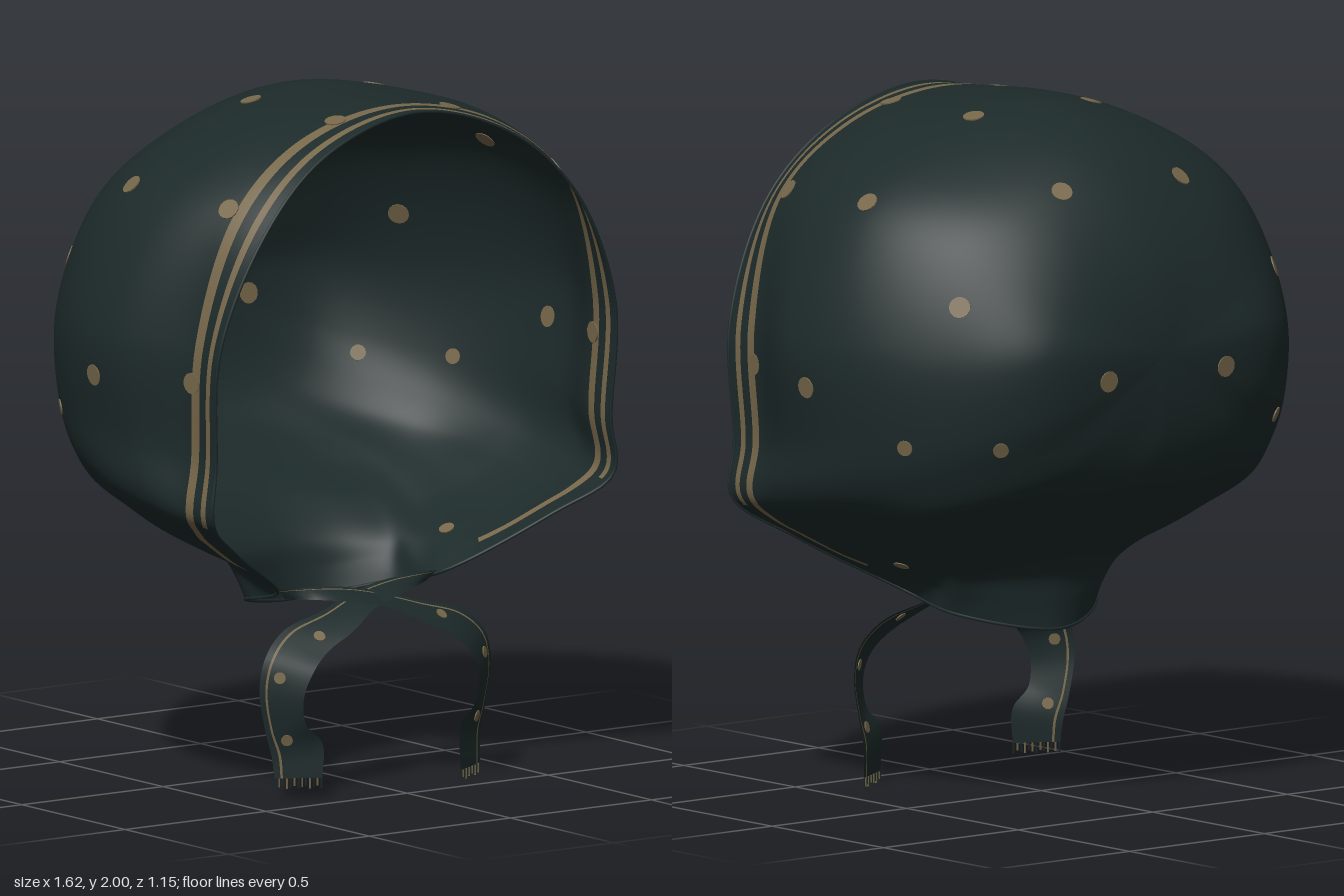
import * as THREE from 'three';

const V = (x, y, z) => new THREE.Vector3(x, y, z);

// Lines running from the open edge of the hood towards the back, from crown down to nape
const POLE = [0, 1.34, -0.567];
const RIBS = [
  [[0, 1.985, 0.545], [0, 1.998, 0.25], [0, 1.992, -0.05], [0, 1.88, -0.32], [0, 1.65, -0.5]],
  [[0.33, 1.892, 0.555], [0.38, 1.93, 0.25], [0.37, 1.9, -0.05], [0.32, 1.775, -0.34], [0.2, 1.59, -0.505]],
  [[0.55, 1.695, 0.57], [0.655, 1.735, 0.23], [0.645, 1.73, -0.03], [0.53, 1.64, -0.31], [0.32, 1.5, -0.515]],
  [[0.7, 1.36, 0.55], [0.803, 1.38, 0.18], [0.78, 1.38, -0.06], [0.645, 1.36, -0.32], [0.41, 1.36, -0.535]],
  [[0.7, 1.02, 0.53], [0.77, 1.06, 0.2], [0.765, 1.09, -0.05], [0.65, 1.11, -0.3], [0.41, 1.18, -0.52]],
  [[0.71, 0.86, 0.53], [0.745, 0.89, 0.28], [0.74, 0.93, 0.02], [0.63, 0.99, -0.27], [0.375, 1.08, -0.495]],
  [[0.57, 0.75, 0.44], [0.635, 0.785, 0.25], [0.64, 0.835, 0.01], [0.57, 0.89, -0.25], [0.31, 1.025, -0.49]],
  [[0.29, 0.58, 0.27], [0.37, 0.66, 0.14], [0.43, 0.73, -0.04], [0.41, 0.84, -0.26], [0.22, 1.0, -0.49]],
  [[0.26, 0.53, 0.07], [0.27, 0.64, 0.0], [0.28, 0.73, -0.12], [0.25, 0.84, -0.31], [0.12, 0.99, -0.495]],
  [[0, 0.48, -0.08], [0, 0.64, -0.1], [0, 0.75, -0.2], [0, 0.86, -0.35], [0, 0.985, -0.5]],
];
// Inner line of the straight band behind the edge, one point for each rib
const BAND = [[0, 1.99, 0.42], [0.35, 1.916, 0.43], [0.587, 1.73, 0.45], [0.705, 1.365, 0.43], [0.705, 1.03, 0.41],
  [0.722, 0.872, 0.41], [0.605, 0.765, 0.345], [0.325, 0.62, 0.205], [0.262, 0.585, 0.035], [0, 0.555, -0.085]];

// Outer and inner edges of a tie, from the neck to its end
const TIE_OUTER = [[-0.28, 0.585, 0.26], [-0.1, 0.58, 0.285], [0.02, 0.56, 0.295], [0.17, 0.52, 0.33], [0.31, 0.48, 0.34],
  [0.39, 0.41, 0.345], [0.41, 0.32, 0.345], [0.39, 0.2, 0.345], [0.37, 0.12, 0.35], [0.365, 0.03, 0.355]];
const TIE_INNER = [[-0.25, 0.555, 0.25], [-0.1, 0.545, 0.35], [0.02, 0.52, 0.385], [0.12, 0.47, 0.42], [0.22, 0.42, 0.43],
  [0.28, 0.37, 0.43], [0.31, 0.3, 0.425], [0.3, 0.22, 0.42], [0.245, 0.16, 0.425], [0.245, 0.03, 0.425]];

// Surface through rows of points; isTrim(row, col) picks the second material
function sheet(rows, closed, isTrim) {
  const n = rows[0].length, index = [[], []];
  for (let r = 0; r < rows.length - 1; r++) {
    for (let c = 0; c < (closed ? n : n - 1); c++) {
      const d = (c + 1) % n;
      const a = r * n + c, b = r * n + d, e = a + n, f = b + n;
      index[isTrim(r, c) ? 1 : 0].push(a, b, e, b, f, e);
    }
  }
  const g = new THREE.BufferGeometry().setFromPoints(rows.flat());
  g.setIndex([...index[0], ...index[1]]);
  g.addGroup(0, index[0].length, 0);
  g.addGroup(index[0].length, index[1].length, 1);
  g.computeVertexNormals();
  return g;
}

// Thin round spot lying in the surface at the vertex nearest the target
function spot(geometry, target, radius, material) {
  const p = geometry.attributes.position, n = geometry.attributes.normal, v = V(0, 0, 0);
  let best = 0, bestD = Infinity;
  for (let i = 0; i < p.count; i++) {
    const d = v.fromBufferAttribute(p, i).distanceToSquared(target);
    if (d < bestD) { bestD = d; best = i; }
  }
  const m = new THREE.Mesh(new THREE.CylinderGeometry(radius, radius, 0.006, 14), material);
  m.position.fromBufferAttribute(p, best);
  m.quaternion.setFromUnitVectors(V(0, 1, 0), v.fromBufferAttribute(n, best).normalize());
  m.name = 'spot';
  return m;
}

export function createModel() {
  const cloth = new THREE.MeshStandardMaterial({ name: 'dark teal cloth', color: 0x1d2a2a, side: THREE.DoubleSide });
  const gold = new THREE.MeshStandardMaterial({ name: 'dull gold print', color: 0x76674a, side: THREE.DoubleSide });
  const model = new THREE.Group();
  model.name = 'headscarf';

  // Hood: ribs continue past the pole so the back stays round
  const ribCurve = (i, side) => {
    const [rim, ...rest] = RIBS[i];
    const pts = [rim, BAND[i], ...rest, POLE].map(([x, y, z]) => V(x * side, y, z));
    const [x, y, z] = rest[3];
    pts.push(V(-x * side, 2 * POLE[1] - y, z));
    return new THREE.CatmullRomCurve3(pts);
  };
  const ribs = RIBS.map((_, i) => ribCurve(i, 1));
  for (let i = RIBS.length - 2; i > 0; i--) ribs.push(ribCurve(i, -1));
  const COLS = ribs.length * 16;
  const key = c => Math.min(c, COLS - c) / 16;
  const steps = [0, 0.25, 0.43, 0.7, 0.96];
  for (let i = 11; i <= 60; i++) steps.push(i / 10);
  const rows = steps.map(s => {
    const ring = new THREE.CatmullRomCurve3(ribs.map(r => r.getPoint(s / 7)), true);
    return Array.from({ length: COLS }, (_, c) => {
      const p = ring.getPoint(c / COLS);
      // soft gathers near the neck
      const w = (1 - THREE.MathUtils.smoothstep(p.y, 0.55, 0.95)) * Math.min(1, s);
      const k = 1 + 0.012 * w * Math.sin(key(c) * 9);
      return V(p.x * k, p.y, p.z);
    });
  });
  // the outer stripe stops at the jaw, the inner one runs on towards the chin
  const isStripe = (r, c) => (r === 1 && key(c + 0.5) < 5.2) || (r === 3 && key(c + 0.5) < 6.6);
  const hoodGeo = sheet(rows, true, isStripe);
  const hood = new THREE.Mesh(hoodGeo, [cloth, gold]);
  hood.name = 'hood';
  model.add(hood);

  // Hem around the face and neck edge
  const hemPath = new THREE.CatmullRomCurve3(rows[0].filter((_, i) => i % 4 === 0), true);
  const hem = new THREE.Mesh(new THREE.TubeGeometry(hemPath, 160, 0.005, 6, true), cloth);
  hem.name = 'hem';
  model.add(hem);

  // Printed spots, mirrored left and right
  const spots = new THREE.Group();
  spots.name = 'spots';
  const places = [[0.22, 1.8, -0.36], [0.21, 1.28, -0.55], [0.59, 1.51, -0.34], [0.5, 1.1, -0.42], [0.68, 1.1, -0.21],
    [0.64, 1.78, 0.03], [0.22, 1.98, 0.04], [0.8, 1.235, 0.09], [0.41, 0.65, 0.14],
    [0.2, 1.97, 0.425], [0.595, 1.76, 0.44], [0.7, 1.25, 0.43]];
  for (const side of [1, -1]) {
    for (const [x, y, z] of places) spots.add(spot(hoodGeo, V(x * side, y, z), y < 1.15 ? 0.023 : 0.031, gold));
  }
  model.add(spots);

  // Two ties crossing in front, each with a printed line, spots and a fringe
  for (const side of [1, -1]) {
    const tie = new THREE.Group();
    tie.name = side > 0 ? 'leftTie' : 'rightTie';
    const lift = side > 0 ? 0 : 0.03;
    const edge = pts => new THREE.CatmullRomCurve3(pts.map(([x, y, z], i) =>
      V(x * side, y + (i === 9 ? lift : 0), z - (side < 0 && i > 0 && i < 5 ? 0.015 : 0))));
    const outer = edge(TIE_OUTER), inner = edge(TIE_INNER);
    const across = [0, 0.13, 0.18, 0.4, 0.6, 0.8, 1];
    const strip = across.map(v => Array.from({ length: 55 }, (_, i) =>
      outer.getPoint(i / 54).lerp(inner.getPoint(i / 54), v)));
    const ribbonGeo = sheet(strip, false, r => r === 1);
    const ribbon = new THREE.Mesh(ribbonGeo, [cloth, gold]);
    ribbon.name = 'ribbon';
    tie.add(ribbon);
    for (const [x, y] of [[0.22, 0.48], [0.36, 0.36], [0.35, 0.17]]) {
      tie.add(spot(ribbonGeo, V(x * side, y, 0.38), 0.017, gold));
    }
    const a = outer.getPoint(1), b = inner.getPoint(1);
    for (let i = 0; i < 13; i++) {
      const len = 0.03 - 0.008 * (i % 3) / 2;
      const strand = new THREE.Mesh(new THREE.BoxGeometry(0.004, len, 0.004), i % 2 ? gold : cloth);
      strand.position.lerpVectors(a, b, (i + 0.3) / 12.6);
      strand.position.y -= len / 2;
      strand.name = 'fringe';
      tie.add(strand);
    }
    model.add(tie);
  }
  return model;
}
